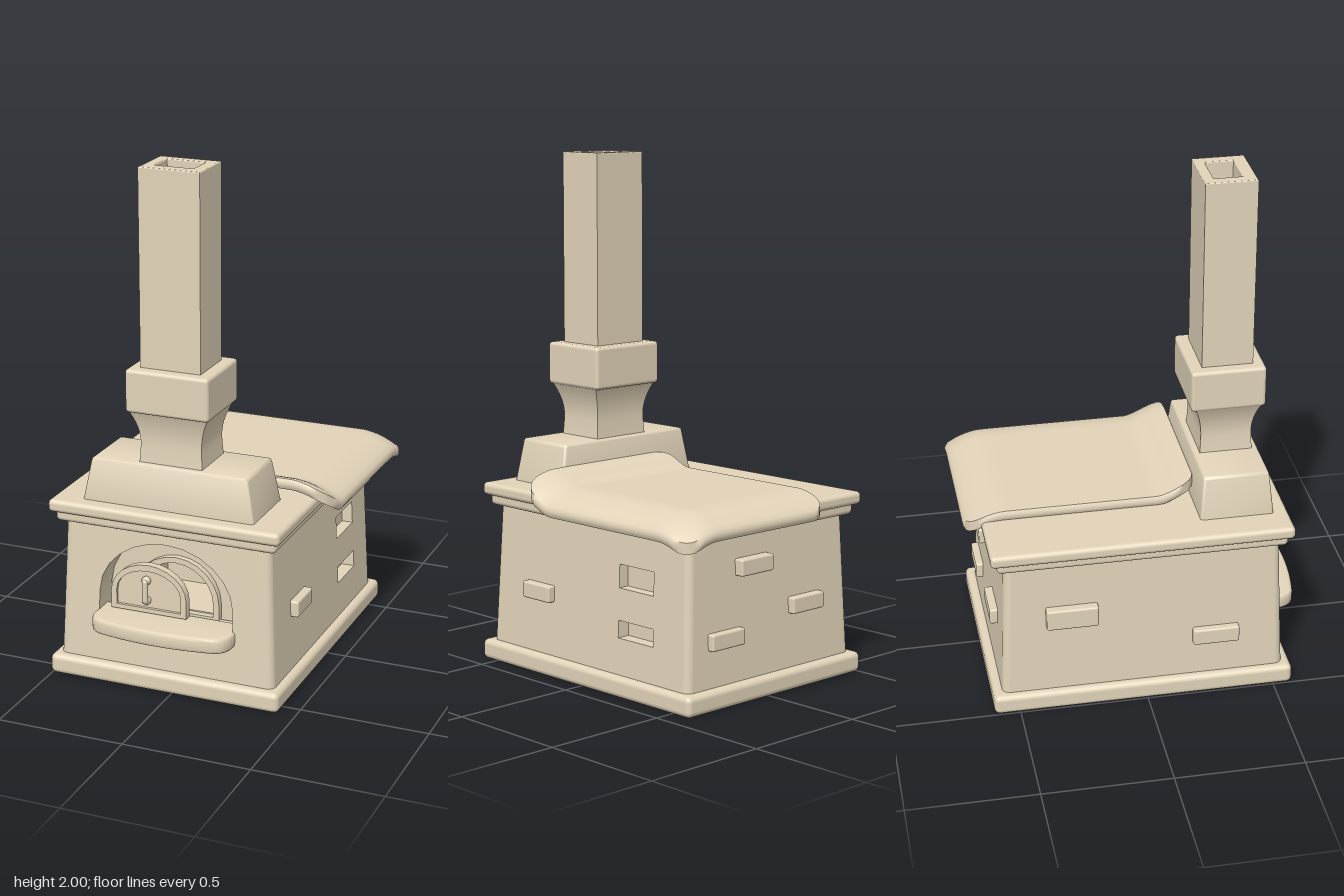
import * as THREE from 'three';
import { toCreasedNormals } from 'three/addons/utils/BufferGeometryUtils.js';
import { RoundedBoxGeometry } from 'three/addons/geometries/RoundedBoxGeometry.js';

const CX = -0.035, CZ = -0.0125, HW = 0.44, HD = 0.5525; // body centre and half sizes at its foot
const Y0 = 0.07, Y1 = 0.64;

// Move every vertex by a rule
function warp(geo, rule) {
  const p = geo.attributes.position, v = new THREE.Vector3();
  for (let i = 0; i < p.count; i++) {
    rule(v.fromBufferAttribute(p, i));
    p.setXYZ(i, v.x, v.y, v.z);
  }
  geo.computeVertexNormals();
  return geo;
}

// The body narrows towards the top
const taperBody = (v) => {
  const t = (v.y - Y0) / (Y1 - Y0);
  v.x = CX + (v.x - CX) * (1 - 0.057 * t);
  v.z = CZ + (v.z - CZ) * (1 - 0.04 * t);
};

function rect(target, x0, x1, y0, y1) {
  target.moveTo(x0, y0).lineTo(x1, y0).lineTo(x1, y1).lineTo(x0, y1).closePath();
  return target;
}

// Arch with short straight sides and an elliptical top
function arch(target, cx, hw, y0, y1, straight) {
  target.moveTo(cx - hw, y0);
  target.lineTo(cx + hw, y0);
  for (let i = 0; i <= 12; i++) {
    const a = (i / 12) * Math.PI;
    target.lineTo(cx + hw * Math.cos(a), y0 + straight + (y1 - y0 - straight) * Math.sin(a));
  }
  target.closePath();
  return target;
}

function extrude(shape, depth, bevel = 0) {
  return new THREE.ExtrudeGeometry(shape, {
    depth: depth - 2 * bevel, bevelEnabled: bevel > 0, bevelSize: bevel, bevelThickness: bevel,
    bevelOffset: -bevel, bevelSegments: 3, curveSegments: 16,
  }).translate(0, 0, bevel);
}

export function createModel() {
  const group = new THREE.Group();
  const material = new THREE.MeshStandardMaterial({ color: 0xe2d4b9 });

  function add(name, geo, parent = group) {
    const mesh = new THREE.Mesh(geo, material);
    mesh.name = name;
    parent.add(mesh);
    return mesh;
  }
  // Soft-edged block from its limits
  function block(name, x0, x1, y0, y1, z0, z1, r) {
    const geo = new RoundedBoxGeometry(x1 - x0, y1 - y0, z1 - z0, 3, r);
    return add(name, geo.translate((x0 + x1) / 2, (y0 + y1) / 2, (z0 + z1) / 2));
  }
  function box(x0, x1, y0, y1, z0, z1) {
    return new THREE.BoxGeometry(x1 - x0, y1 - y0, z1 - z0)
      .translate((x0 + x1) / 2, (y0 + y1) / 2, (z0 + z1) / 2);
  }

  // Base and two-step top slab
  block('base', -0.505, 0.435, 0, 0.08, -0.6, 0.575, 0.022);
  block('slabLower', -0.48, 0.41, 0.625, 0.68, -0.572, 0.545, 0.018);
  block('slabUpper', -0.502, 0.432, 0.665, 0.715, -0.597, 0.567, 0.018);

  // Body: four walls and rounded corners
  const body = new THREE.Group();
  body.name = 'body';
  group.add(body);
  const R = 0.03, left = CX + HW, right = CX - HW, front = CZ + HD, back = CZ - HD;

  const frontShape = rect(new THREE.Shape(), right + R, left - R, Y0, Y1);
  frontShape.holes.push(arch(new THREE.Path(), CX, 0.28, 0.275, 0.585, 0.09));
  add('frontWall', toCreasedNormals(
    warp(extrude(frontShape, 0.11).translate(0, 0, front - 0.11), taperBody), 0.5), body);

  const niches = [[0.41, 0.5], [0.22, 0.287]];
  const sideShape = rect(new THREE.Shape(), -front + R, -back - R, Y0, Y1);
  for (const [a, b] of niches) sideShape.holes.push(rect(new THREE.Path(), 0.188, 0.378, a, b));
  add('leftWall', warp(extrude(sideShape, 0.07).rotateY(Math.PI / 2)
    .translate(left - 0.07, 0, 0), taperBody), body);
  for (const [a, b] of niches) {
    add('nicheBack', box(left - 0.1, left - 0.06, a - 0.03, b + 0.03, -0.4, -0.16), body);
  }
  add('rightWall', warp(box(right, right + 0.07, Y0, Y1, back + R, front - R), taperBody), body);
  add('backWall', warp(box(right + R, left - R, Y0, Y1, back, back + 0.07), taperBody), body);
  for (const x of [right + R, left - R]) {
    for (const z of [back + R, front - R]) {
      const post = new THREE.CylinderGeometry(R, R, Y1 - Y0, 20).translate(x, (Y0 + Y1) / 2, z);
      add('corner', warp(post, taperBody), body);
    }
  }

  // Oven: inner wall with a smaller mouth, its rim and the chamber
  const innerShape = rect(new THREE.Shape(), CX - 0.33, CX + 0.33, 0.22, 0.62);
  innerShape.holes.push(arch(new THREE.Path(), -0.03, 0.155, 0.29, 0.485, 0.05));
  add('ovenChamber', toCreasedNormals(extrude(innerShape, 0.25).translate(0, 0, 0.165), 0.5));
  add('chamberBack', box(-0.3, 0.24, 0.24, 0.55, 0.14, 0.17));
  const rim = arch(new THREE.Shape(), -0.03, 0.175, 0.275, 0.505, 0.06);
  rim.holes.push(arch(new THREE.Path(), -0.03, 0.152, 0.285, 0.482, 0.05));
  add('mouthRim', toCreasedNormals(extrude(rim, 0.035).translate(0, 0, 0.405), 0.5));

  // Door set aside in front of the mouth
  const door = new THREE.Group();
  door.name = 'door';
  door.position.set(-0.115, 0.29, 0.475);
  group.add(door);
  add('doorPanel', extrude(arch(new THREE.Shape(), 0, 0.145, 0.01, 0.18, 0.07), 0.02), door);
  const frame = arch(new THREE.Shape(), 0, 0.155, 0, 0.195, 0.07);
  frame.holes.push(arch(new THREE.Path(), 0, 0.132, 0.018, 0.17, 0.06));
  add('doorFrame', toCreasedNormals(extrude(frame, 0.032), 0.5), door);
  add('doorHandle', new THREE.CapsuleGeometry(0.012, 0.075, 4, 10).translate(-0.01, 0.09, 0.04), door);
  for (const y of [0.05, 0.13]) {
    add('handleMount', new THREE.SphereGeometry(0.018, 12, 8).translate(-0.01, y, 0.028), door);
  }

  // Bowed ledge below the opening
  const ledge = new THREE.Shape();
  ledge.moveTo(-0.318, -0.45);
  ledge.lineTo(-0.318, -0.565);
  ledge.quadraticCurveTo(-0.31, -0.612, -0.27, -0.625);
  ledge.quadraticCurveTo(CX, -0.674, 0.2, -0.625);
  ledge.quadraticCurveTo(0.24, -0.612, 0.248, -0.565);
  ledge.lineTo(0.248, -0.45);
  add('ledge', toCreasedNormals(
    extrude(ledge, 0.06, 0.012).rotateX(-Math.PI / 2).translate(0, 0.225, 0), 0.6));

  // Bricks standing out of the walls
  block('leftBrick', 0.34, 0.425, 0.29, 0.355, 0.18, 0.335, 0.008);
  block('rightBrick', -0.495, -0.42, 0.36, 0.445, -0.39, -0.19, 0.008);
  block('rightBrick', -0.495, -0.42, 0.22, 0.287, 0.18, 0.36, 0.008);
  for (const [x, y] of [[0.06, 0.51], [0.21, 0.253], [-0.22, 0.32]]) {
    block('backBrick', x - 0.085, x + 0.085, y - 0.032, y + 0.032, -0.585, -0.5, 0.008);
  }

  // Hood, tapering upwards
  const hood = block('hood', -0.383, 0.313, 0.7, 0.882, 0.222, 0.51, 0.012);
  warp(hood.geometry, (v) => {
    const t = (v.y - 0.7) / 0.182;
    v.x = CX + (v.x - CX) * (1 - 0.1 * t);
    v.z = 0.366 + (v.z - 0.366) * (1 - 0.12 * t);
  });
  hood.geometry = toCreasedNormals(hood.geometry, 0.6);

  // Flared neck
  add('neck', warp(new THREE.BoxGeometry(1, 1, 1, 1, 14, 1), (v) => {
    const t = v.y + 0.5;
    const flare = 0.04 * Math.pow(Math.max(0, t - 0.35) / 0.65, 2) + 0.008 * Math.pow(1 - t, 3);
    v.set(CX + v.x * 2 * (0.12 + flare), 0.87 + 0.22 * t, 0.366 + v.z * 2 * (0.097 + 0.8 * flare));
  }));

  // Collar and hollow chimney
  block('collar', -0.2, 0.132, 1.083, 1.25, 0.22, 0.51, 0.014);
  const flue = rect(new THREE.Shape(), -0.155, 0.085, -0.465, -0.267);
  flue.holes.push(rect(new THREE.Path(), -0.11, 0.04, -0.415, -0.307));
  add('chimney', extrude(flue, 0.77, 0.004).rotateX(-Math.PI / 2).translate(0, 1.23, 0));
  add('chimneyFloor', box(-0.12, 0.05, 1.8, 1.88, 0.3, 0.425));

  // Cloth draped over the slab: rounded corners, raised at the hood, drooping at left and back
  const a = 0.3685, b = 0.4425, r = 0.065;
  const cloth = new THREE.BoxGeometry(2 * a, 1, 2 * b, 36, 4, 42);
  add('cloth', toCreasedNormals(warp(cloth, (v) => {
    const dx = Math.max(Math.abs(v.x) - (a - r), 0), dz = Math.max(Math.abs(v.z) - (b - r), 0);
    const len = Math.hypot(dx, dz);
    if (len > r) {
      v.x = Math.sign(v.x) * (a - r + dx * r / len);
      v.z = Math.sign(v.z) * (b - r + dz * r / len);
    }
    const x = v.x + 0.1325, z = v.z - 0.2125;
    const side = Math.max(0, (x - 0.34) / 0.16), rear = Math.max(0, (-z - 0.5) / 0.155);
    const rise = THREE.MathUtils.smoothstep(z, 0.08, 0.23);
    const y = 0.73 - 0.055 * side * side - 0.055 * rear * rear + 0.05 * rise;
    // rounded rim
    const bulge = 0.008 * (1 - 4 * v.y * v.y);
    const rim = Math.max(Math.abs(v.x) / a, Math.abs(v.z) / b) > 0.999 ? 1 : 0;
    v.set(x + rim * bulge * Math.sign(v.x) * (Math.abs(v.x) > a - 1e-4 ? 1 : 0), y + v.y * 0.042,
      z + rim * bulge * Math.sign(v.z) * (Math.abs(v.z) > b - 1e-4 ? 1 : 0));
  }), 0.7));

  return group;
}
